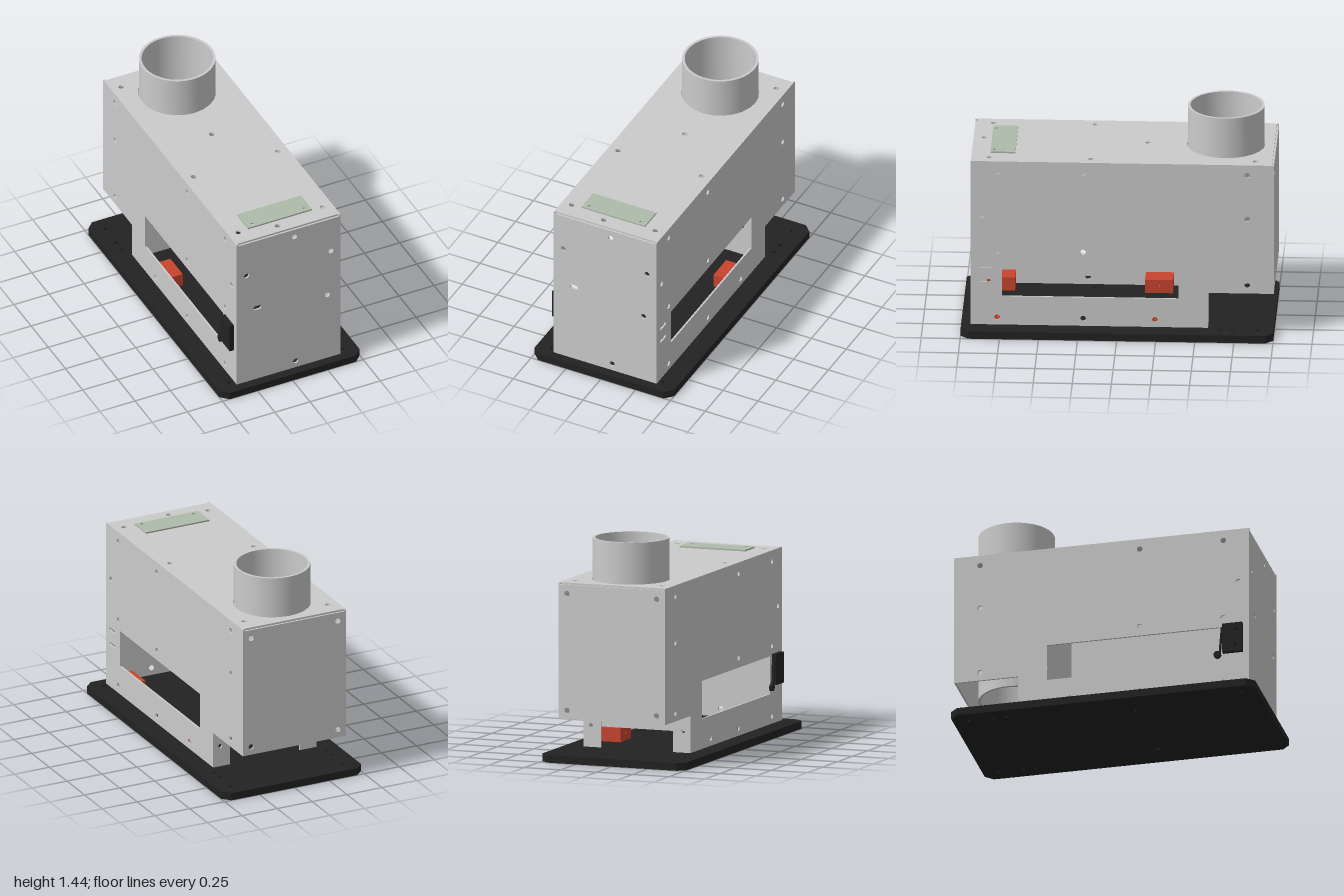
import * as THREE from 'three';
import { toCreasedNormals } from 'three/addons/utils/BufferGeometryUtils.js';

const mat = (color) => new THREE.MeshStandardMaterial({ color });
const grey = mat(0xcccccc);
const black = mat(0x222222);
const red = mat(0xc8452f);
const green = mat(0xaebcaa);
const T = 0.012; // sheet thickness
const R = 0.018; // screw hole radius

const rect = (u0, v0, u1, v1) => [[u0, v0], [u1, v0], [u1, v1], [u0, v1]];
const poly = (pts, Type = THREE.Path) => new Type(pts.map((p) => new THREE.Vector2(...p)));

function circle(u, v, r = R) {
  const p = new THREE.Path();
  p.absarc(u, v, r, 0, Math.PI * 2, true);
  return p;
}

function slot(u0, u1, v, r) {
  const p = new THREE.Path();
  p.absarc(u0 + r, v, r, Math.PI / 2, Math.PI * 1.5, false);
  p.absarc(u1 - r, v, r, -Math.PI / 2, Math.PI / 2, false);
  p.closePath();
  return p;
}

// Extruded sheet. Plane 'side': u = z, v = y, grows to -x; 'flat': u = x, v = z, grows down;
// 'front': u = x, v = y, grows to +z. "at" is the coordinate of the starting face.
function sheet(name, material, plane, at, depth, outline, holes = []) {
  const shape = poly(outline, THREE.Shape);
  shape.holes.push(...holes);
  let g = new THREE.ExtrudeGeometry(shape, { depth, bevelEnabled: false, curveSegments: 12 });
  if (plane === 'side') g.rotateY(-Math.PI / 2).translate(at, 0, 0);
  else if (plane === 'flat') g.rotateX(Math.PI / 2).translate(0, at, 0);
  else g.translate(0, 0, at);
  const m = new THREE.Mesh(toCreasedNormals(g, 0.6), material);
  m.name = name;
  return m;
}

export function createModel() {
  const model = new THREE.Group();
  model.name = 'ductedHousing';

  // Chamfered base plate with mounting holes
  const c = 0.05;
  const baseHoles = [];
  for (const s of [-1, 1]) {
    for (const z of [-0.9, -0.735, -0.655, 0.9]) baseHoles.push(circle(s * 0.4, z, 0.013));
    baseHoles.push(circle(s * 0.3, 0.17, 0.016));
  }
  model.add(sheet('basePlate', black, 'flat', 0.05, 0.05, [
    [-0.5 + c, -1], [0.5 - c, -1], [0.5, -1 + c], [0.5, 1 - c],
    [0.5 - c, 1], [-0.5 + c, 1], [-0.5, 1 - c], [-0.5, -1 + c],
  ], baseHoles));

  // Side walls with the long window, the rear notch and screw holes
  const sideOutline = [[0.94, 0.05], [0.94, 1.17], [-1, 1.17], [-1, 0.29], [-0.58, 0.29], [-0.58, 0.05]];
  const sideSpots = [[0.77, 1.1], [0.22, 1.1], [-0.83, 1.1], [0.87, 0.8], [-0.83, 0.8], [0.77, 0.555],
    [0.22, 0.555], [-0.83, 0.345], [0.77, 0.1], [0.22, 0.1], [-0.24, 0.1]];
  for (const s of [1, -1]) {
    const holes = sideSpots.map(([z, y]) => circle(z, y));
    holes.push(poly(rect(-0.39, 0.245, 0.74, 0.49)));
    for (const y of [0.35, 0.45]) holes.push(slot(0.81, 0.89, y, 0.011));
    model.add(sheet(s > 0 ? 'leftWall' : 'rightWall', grey, 'side', s > 0 ? 0.37 : -0.37 + T, T, sideOutline, holes));
  }

  // Front, back and top panels
  const w = 0.37 - T;
  const frontHoles = [[0.04, 1.1], [-0.3, 0.9], [0.3, 0.9], [0.275, 0.555], [0.05, 0.1]].map(([x, y]) => circle(x, y));
  frontHoles.push(slot(-0.25, -0.195, 0.62, 0.015));
  model.add(sheet('frontPanel', grey, 'front', 0.94 - T, T, rect(-w, 0.05, w, 1.17 - T), frontHoles));

  const backHoles = [];
  for (const x of [-0.31, 0.31]) for (const y of [0.345, 1.1]) backHoles.push(circle(x, y));
  model.add(sheet('backPanel', grey, 'front', -1, T, rect(-w, 0.29, w, 1.17 - T), backHoles));

  const topHoles = [[-0.3, -0.88], [0.3, -0.88], [0, -0.18], [-0.3, 0.17], [0.3, 0.17],
    [-0.3, 0.82], [0.3, 0.82], [-0.045, 0.87]].map(([x, z]) => circle(x, z));
  topHoles.push(circle(0, -0.68, 0.25));
  model.add(sheet('topPanel', grey, 'flat', 1.17, T, rect(-w, -1 + T, w, 0.94 - T), topHoles));

  // Inner partition and notch flanges
  model.add(sheet('innerPartition', grey, 'front', -0.42, T, rect(-w, 0.16, w, 1.17 - T),
    [circle(-0.29, 0.38), circle(0.29, 0.38)]));
  for (const s of [-1, 1]) {
    const x0 = s > 0 ? 0.25 : -w;
    model.add(sheet('notchFlange', grey, 'front', -0.58, T, rect(x0, 0.05, x0 + w - 0.25, 0.29),
      [circle(s * 0.32, 0.19, 0.014)]));
  }

  // Open duct pipe running down through the rear chamber
  const ring = new THREE.Shape();
  ring.absarc(0, 0, 0.245, 0, Math.PI * 2, false);
  ring.holes.push(circle(0, 0, 0.228));
  const pipeGeo = new THREE.ExtrudeGeometry(ring, { depth: 1.15, bevelEnabled: false, curveSegments: 28 });
  pipeGeo.rotateX(Math.PI / 2).translate(0, 1.44, -0.68);
  const pipe = new THREE.Mesh(toCreasedNormals(pipeGeo, 0.6), grey);
  pipe.name = 'ductPipe';
  model.add(pipe);

  // Small cover plate on the top
  model.add(sheet('coverPlate', green, 'flat', 1.18, 0.01, rect(-0.23, 0.66, 0.225, 0.82),
    [circle(-0.185, 0.793, 0.012), circle(0.185, 0.793, 0.012)]));

  // Red mounting blocks screwed to the side walls
  for (const s of [-1, 1]) {
    for (const z of [0.77, -0.24]) {
      model.add(sheet('mountingBlock', red, 'side', s > 0 ? w : -0.22, 0.138,
        rect(z - 0.09, 0.05, z + 0.09, 0.14), [circle(z, 0.1, 0.01)]));
    }
  }

  // Switch on the right wall: body, lever and roller
  const lever = new THREE.Group();
  lever.name = 'limitSwitch';
  lever.add(sheet('switchBody', black, 'side', -0.37, 0.03, rect(0.77, 0.3, 0.9, 0.5),
    [circle(0.855, 0.35, 0.009), circle(0.855, 0.45, 0.009)]));
  lever.add(sheet('switchLever', black, 'side', -0.375, 0.02, [[0.745, 0.29], [0.755, 0.29], [0.77, 0.48], [0.76, 0.48]]));
  const roller = new THREE.Mesh(new THREE.CylinderGeometry(0.024, 0.024, 0.02, 20), black);
  roller.name = 'switchRoller';
  roller.rotation.z = Math.PI / 2;
  roller.position.set(-0.385, 0.29, 0.735);
  lever.add(roller);
  model.add(lever);

  return model;
}
